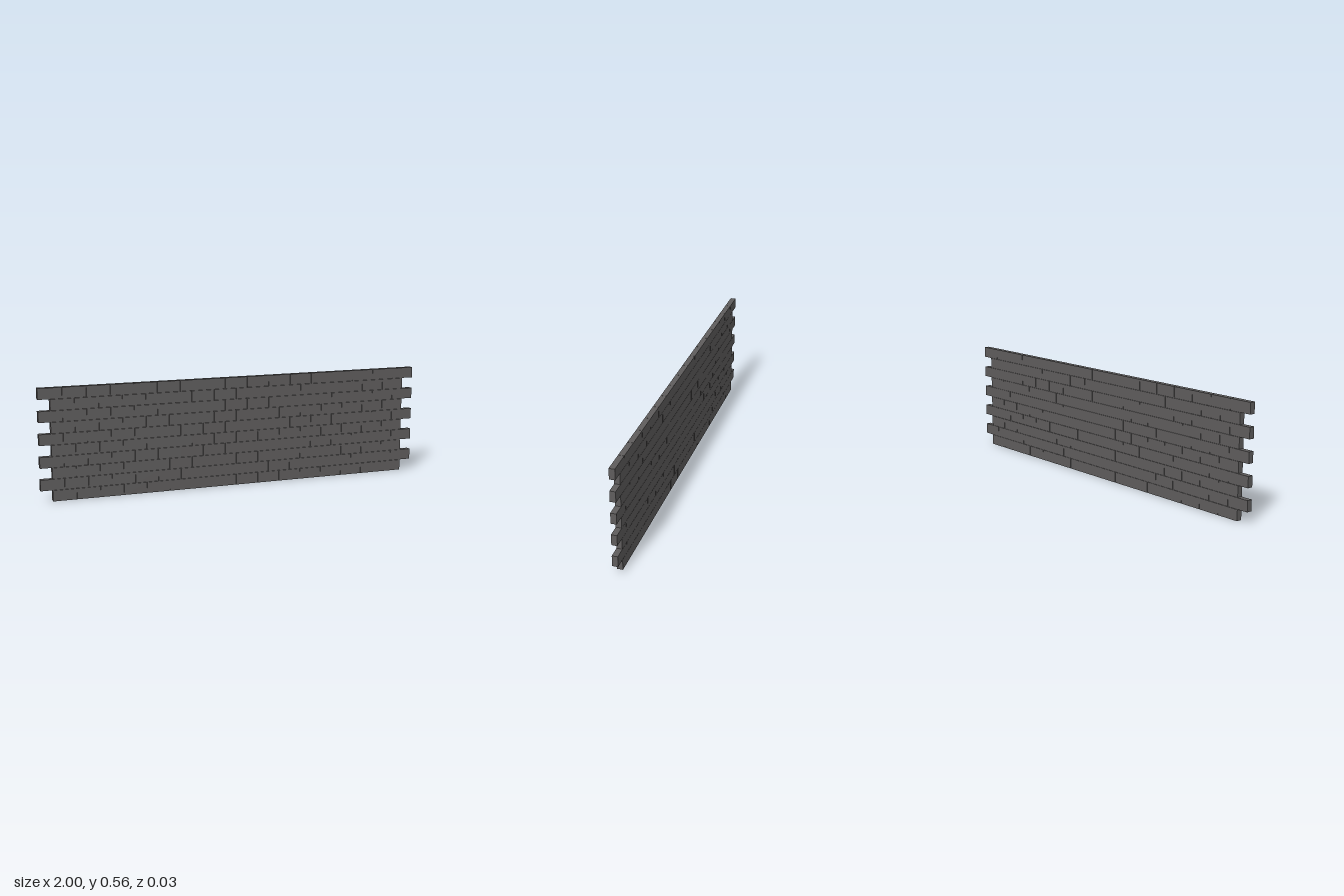
import * as THREE from 'three';

export function createModel() {
  const wall = new THREE.Group();
  wall.name = 'brickWall';

  const rows = 10, gap = 0.0013;
  const pitchX = (2 + gap) / 17;      // brick length plus joint
  const pitchY = (0.555 + gap) / rows; // course height plus joint
  const material = new THREE.MeshStandardMaterial({ color: 0x5f5d5d });
  const brickGeometry = new THREE.BoxGeometry(pitchX - gap, pitchY - gap, 0.028);

  // Running bond: courses of 16 and 17 bricks alternate, offset by half a brick
  for (let r = 0; r < rows; r++) {
    const course = new THREE.Group();
    course.name = `course${r + 1}`;
    course.position.y = r * pitchY + (pitchY - gap) / 2;
    const count = r % 2 ? 17 : 16;
    for (let i = 0; i < count; i++) {
      const brick = new THREE.Mesh(brickGeometry, material);
      brick.name = 'brick';
      brick.position.x = (i - (count - 1) / 2) * pitchX;
      course.add(brick);
    }
    wall.add(course);
  }
  return wall;
}
